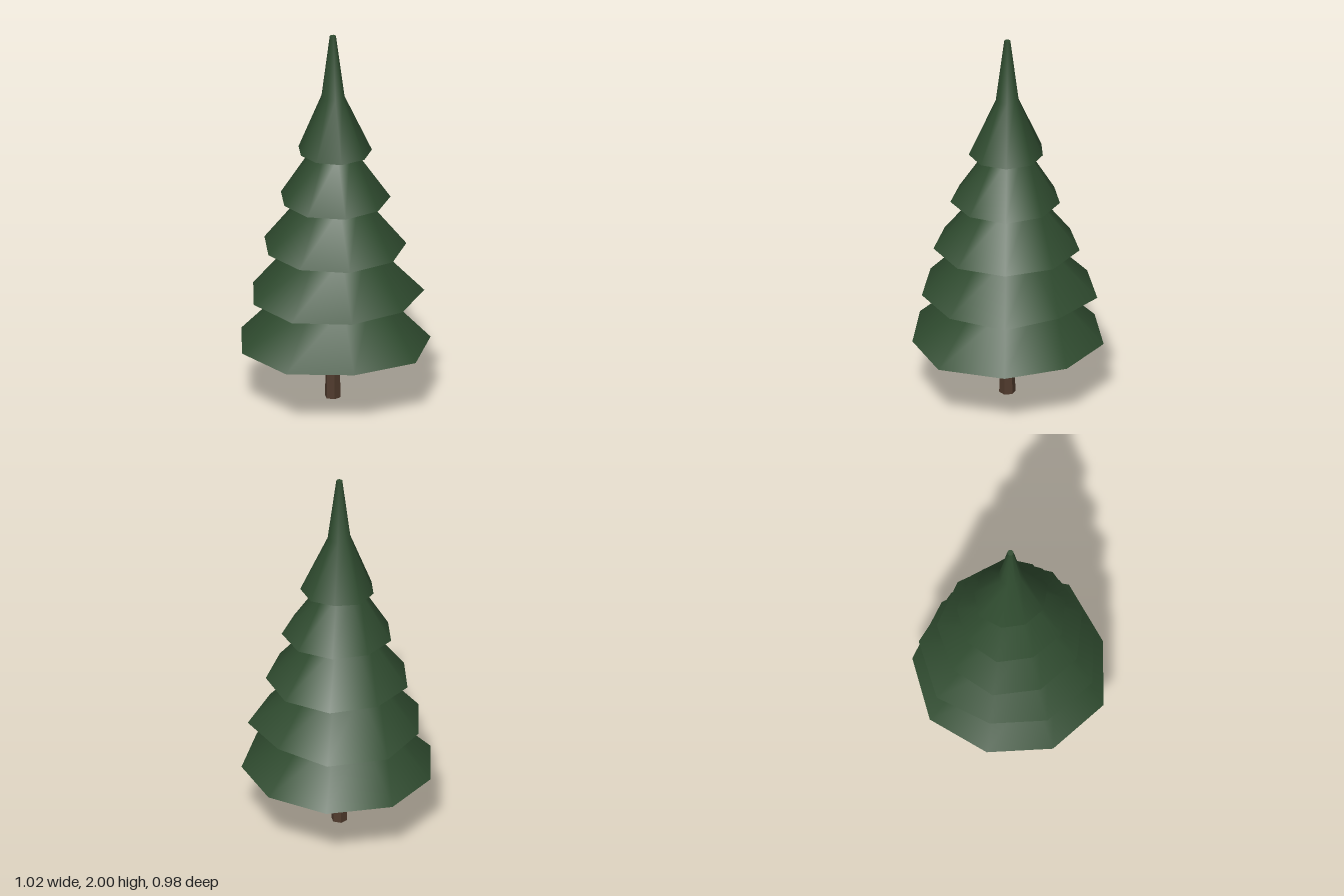
import * as THREE from 'three';

const SIDES = 9;
const CX = -0.012; // trunk axis
const ring = (r, y) => ({ radii: Array.isArray(r) ? r : Array(SIDES).fill(r), y });

// Skin a stack of nine-sided rings, smooth around and along
function loft(rings) {
  const pos = [], index = [];
  rings.forEach(({ radii, y }) => radii.forEach((r, i) => {
    const a = (i / SIDES) * Math.PI * 2;
    pos.push(CX + r * Math.sin(a), y, -r * Math.cos(a));
  }));
  for (let k = 0; k < rings.length - 1; k++) {
    for (let i = 0; i < SIDES; i++) {
      const j = (i + 1) % SIDES;
      const a = k * SIDES + i, b = k * SIDES + j;
      index.push(a, a + SIDES, b, b, a + SIDES, b + SIDES);
    }
  }
  const g = new THREE.BufferGeometry();
  g.setAttribute('position', new THREE.Float32BufferAttribute(pos, 3));
  g.setIndex(index);
  g.computeVertexNormals();
  return g;
}

// Each tier: skirt height, uneven skirt radii from the back clockwise, top radius
const TIERS = [
  { y: 0.32, skirt: [0.49, 0.5, 0.53, 0.49, 0.523, 0.503, 0.488, 0.506, 0.502], top: 0.24 },
  { y: 0.58, skirt: [0.424, 0.468, 0.445, 0.441, 0.46, 0.438, 0.425, 0.463, 0.469], top: 0.205 },
  { y: 0.842, skirt: [0.375, 0.376, 0.383, 0.381, 0.373, 0.357, 0.365, 0.364, 0.377], top: 0.16 },
  { y: 1.102, skirt: [0.285, 0.295, 0.291, 0.294, 0.286, 0.269, 0.277, 0.272, 0.274], top: 0.11 },
  { y: 1.365, skirt: [0.198, 0.2, 0.203, 0.199, 0.185, 0.177, 0.183, 0.198, 0.185], top: 0.06 },
];
const KNEE_Y = 1.665;

export function createModel() {
  const group = new THREE.Group();
  const needles = new THREE.MeshStandardMaterial({ color: 0x2f4b2f });
  needles.name = 'needle green';
  const bark = new THREE.MeshStandardMaterial({ color: 0x4f3a2c });
  bark.name = 'bark brown';
  bark.flatShading = true;

  const add = (parent, name, geometry, material) => {
    const mesh = new THREE.Mesh(geometry, material);
    mesh.name = name;
    parent.add(mesh);
    return mesh;
  };

  // Hexagonal tapered trunk
  const trunk = add(group, 'trunk', new THREE.CylinderGeometry(0.033, 0.042, 0.34, 6), bark);
  trunk.position.set(CX, 0.17, 0);

  // Overlapping branch tiers: sloping skirt and flat underside
  TIERS.forEach(({ y, skirt, top }, n) => {
    const tier = new THREE.Group();
    tier.name = `branchTier${n + 1}`;
    const next = TIERS[n + 1];
    const rings = [ring(skirt, y), ring(top, next ? next.y : KNEE_Y)];
    if (!next) rings.push(ring(0.016, 2)); // the last tier runs on into the spire
    add(tier, 'skirt', loft(rings), needles);
    const inner = n ? TIERS[n - 1].top : 0;
    add(tier, 'underside', loft([ring(inner, y), ring(skirt, y)]), needles);
    group.add(tier);
  });

  // Flat cap on the spire
  add(group, 'spireCap', loft([ring(0.016, 2), ring(0, 2)]), needles);
  return group;
}
